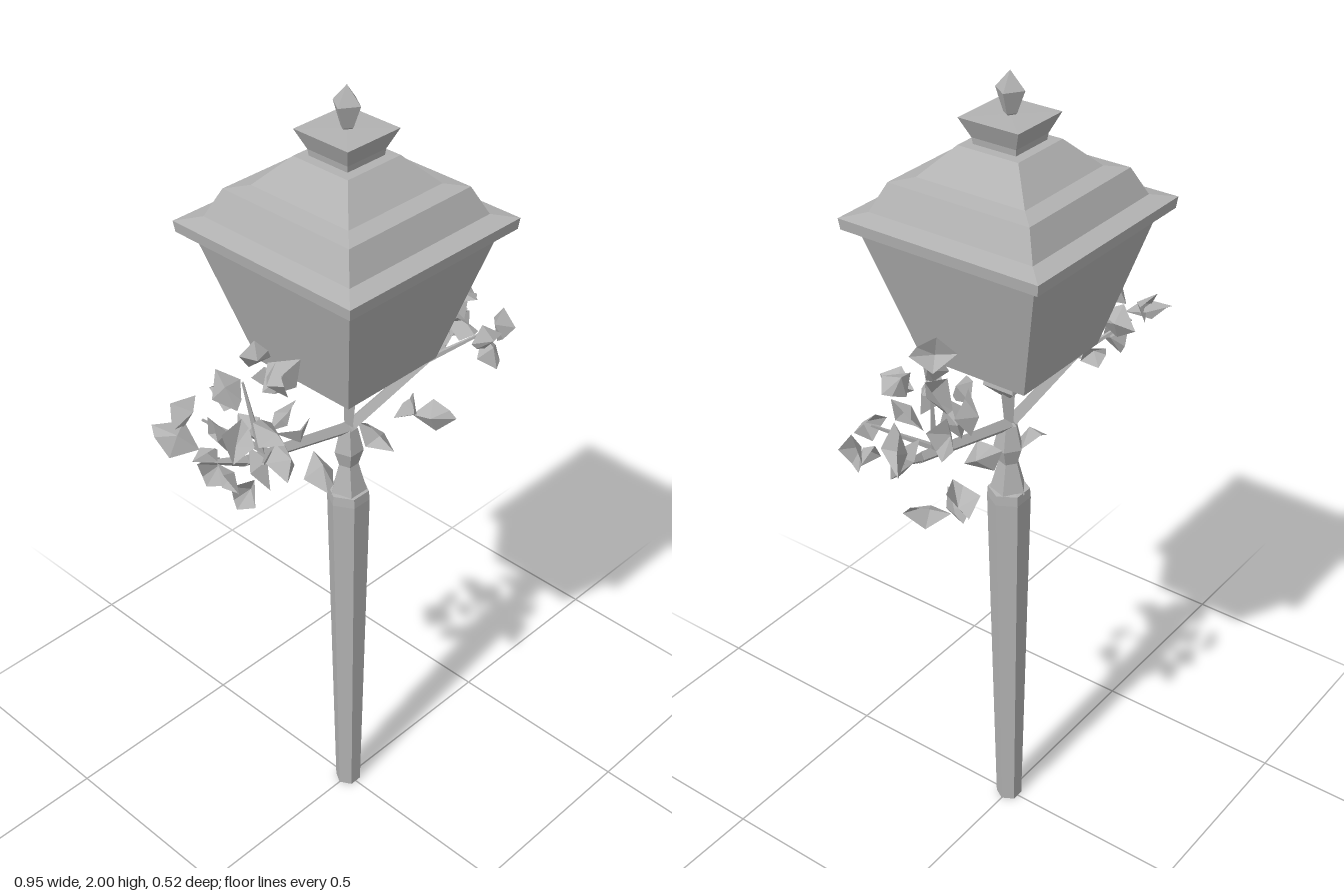
import * as THREE from 'three';

const metal = new THREE.MeshStandardMaterial({ color: 0xb2b2b2, flatShading: true, side: THREE.DoubleSide });
metal.name = 'grey';

let seed = 11;
const rand = () => {
  seed = (seed * 16807) % 2147483647;
  return seed / 2147483647;
};

function add(parent, name, geometry) {
  const mesh = new THREE.Mesh(geometry, metal);
  mesh.name = name;
  parent.add(mesh);
  return mesh;
}

// Turned profile of [half width, height] pairs; four sides give a square section
function profile(parent, name, pairs, sides = 4) {
  const k = sides === 4 ? Math.SQRT2 : 1;
  const geo = new THREE.LatheGeometry(pairs.map(([r, y]) => new THREE.Vector2(r * k, y)), sides);
  geo.rotateY(Math.PI / sides);
  return add(parent, name, geo);
}

// Tapered rod between two points
function rod(parent, name, a, b, r0, r1, sides = 4) {
  const from = new THREE.Vector3(...a), to = new THREE.Vector3(...b);
  const dir = to.clone().sub(from);
  const mesh = add(parent, name, new THREE.CylinderGeometry(r1, r0, dir.length(), sides));
  mesh.position.copy(from).addScaledVector(dir, 0.5);
  mesh.quaternion.setFromUnitVectors(new THREE.Vector3(0, 1, 0), dir.normalize());
}

// Cupped leaf folded along its middle, centred on the origin
function leafGeometry() {
  const geo = new THREE.BufferGeometry();
  geo.setAttribute('position', new THREE.Float32BufferAttribute([
    0, -0.045, 0, 0.036, -0.005, 0.022, 0.018, 0.036, 0.012,
    0, 0.052, 0.016, -0.036, 0.006, 0.022, 0, 0, -0.014,
  ], 3));
  geo.setIndex([0, 1, 5, 1, 2, 5, 2, 3, 5, 3, 4, 5, 4, 0, 5]);
  geo.computeVertexNormals();
  return geo;
}

export function createModel() {
  const model = new THREE.Group();
  model.name = 'streetLamp';

  // Post widening upwards, with a faceted collar and neck
  profile(model, 'post', [[0, 0], [0.033, 0], [0.052, 0.96], [0.05, 0.985], [0, 0.99]], 6);
  profile(model, 'collar', [[0.046, 0.98], [0.024, 1.06], [0.036, 1.1], [0.022, 1.16], [0, 1.18]], 5);
  rod(model, 'neck', [0, 1.15, 0], [0.005, 1.27, 0], 0.012, 0.022);
  profile(model, 'cup', [[0.014, 1.24], [0.042, 1.27], [0.034, 1.32]]);

  // Square lantern: glass body, stepped roof, cap and finial
  const lantern = new THREE.Group();
  lantern.name = 'lantern';
  lantern.position.x = -0.005;
  model.add(lantern);
  profile(lantern, 'lanternBase', [[0, 1.305], [0.07, 1.31], [0.14, 1.35]]);
  profile(lantern, 'glass', [[0.14, 1.35], [0.23, 1.675]]);
  profile(lantern, 'brim', [[0.22, 1.672], [0.255, 1.672], [0.258, 1.698], [0.212, 1.708]]);
  profile(lantern, 'roof', [[0.212, 1.708], [0.182, 1.772], [0.14, 1.78], [0.078, 1.845], [0, 1.846]]);
  profile(lantern, 'cap', [[0.055, 1.845], [0.057, 1.86], [0.077, 1.905], [0, 1.907]]);
  const finial = add(lantern, 'finial', new THREE.LatheGeometry(
    [[0, 1.895], [0.016, 1.91], [0.034, 1.96], [0, 2]].map(p => new THREE.Vector2(...p)), 4));
  finial.rotation.y = 0.2;

  // Side arms with thin twigs
  for (const s of [-1, 1]) {
    const arms = new THREE.Group();
    arms.name = s < 0 ? 'rightArm' : 'leftArm';
    model.add(arms);
    const end = [s * 0.32, 1.235, 0];
    rod(arms, 'arm', [0, 1.16, 0], end, 0.017, 0.014);
    rod(arms, 'twig', end, [s * 0.43, 1.28, -0.02], 0.013, 0.003);
    rod(arms, 'twig', [s * 0.27, 1.22, 0], [s * 0.3, 1.42, -0.02], 0.01, 0.003);
    rod(arms, 'twig', [s * 0.25, 1.22, 0], [s * 0.36, 1.3, 0.1], 0.009, 0.003);
    rod(arms, 'twig', [s * 0.25, 1.22, 0], [s * 0.35, 1.31, -0.1], 0.009, 0.003);
  }

  // Leaf clusters: [x, y, z] of each leaf centre
  const clusters = {
    rightLeaves: [
      [-0.28, 1.48, 0], [-0.34, 1.42, -0.03], [-0.27, 1.43, 0.04], [-0.21, 1.37, -0.02],
      [-0.22, 1.42, 0.02], [-0.44, 1.32, 0], [-0.41, 1.27, 0.05], [-0.38, 1.23, -0.03],
      [-0.31, 1.29, 0.12], [-0.25, 1.25, -0.06], [-0.33, 1.36, 0.1], [-0.27, 1.34, -0.11],
      [-0.37, 1.21, 0.06], [-0.24, 1.3, 0.08], [-0.3, 1.23, 0.03], [-0.38, 1.34, -0.11],
      [-0.43, 1.31, -0.09], [-0.34, 1.29, -0.05], [-0.29, 1.38, 0.08], [-0.36, 1.31, 0.02],
    ],
    leftLeaves: [
      [0.26, 1.46, 0], [0.34, 1.42, -0.06], [0.24, 1.41, 0.03], [0.2, 1.36, -0.02],
      [0.35, 1.34, -0.1], [0.43, 1.32, -0.04], [0.43, 1.28, 0.08], [0.38, 1.24, 0.1],
      [0.27, 1.36, 0.1], [0.33, 1.35, 0.02], [0.3, 1.38, -0.13], [0.23, 1.33, 0.05],
      [0.35, 1.29, 0.12], [0.31, 1.4, 0.06], [0.28, 1.33, -0.07], [0.38, 1.27, -0.02],
    ],
    lowerLeaves: [
      [-0.09, 1.09, 0], [0.085, 1.1, 0.02], [0.24, 1.075, -0.02], [0.285, 1.13, -0.08], [0.27, 1.06, 0.02],
    ],
  };
  const leaf = leafGeometry();
  for (const [name, spots] of Object.entries(clusters)) {
    const group = new THREE.Group();
    group.name = name;
    model.add(group);
    for (const spot of spots) {
      const mesh = add(group, 'leaf', leaf);
      mesh.position.set(...spot);
      mesh.rotation.set(rand() * 6.28, rand() * 6.28, rand() * 6.28);
      mesh.scale.setScalar(name === 'lowerLeaves' ? 1.1 : 0.85 + rand() * 0.35);
    }
  }
  return model;
}
